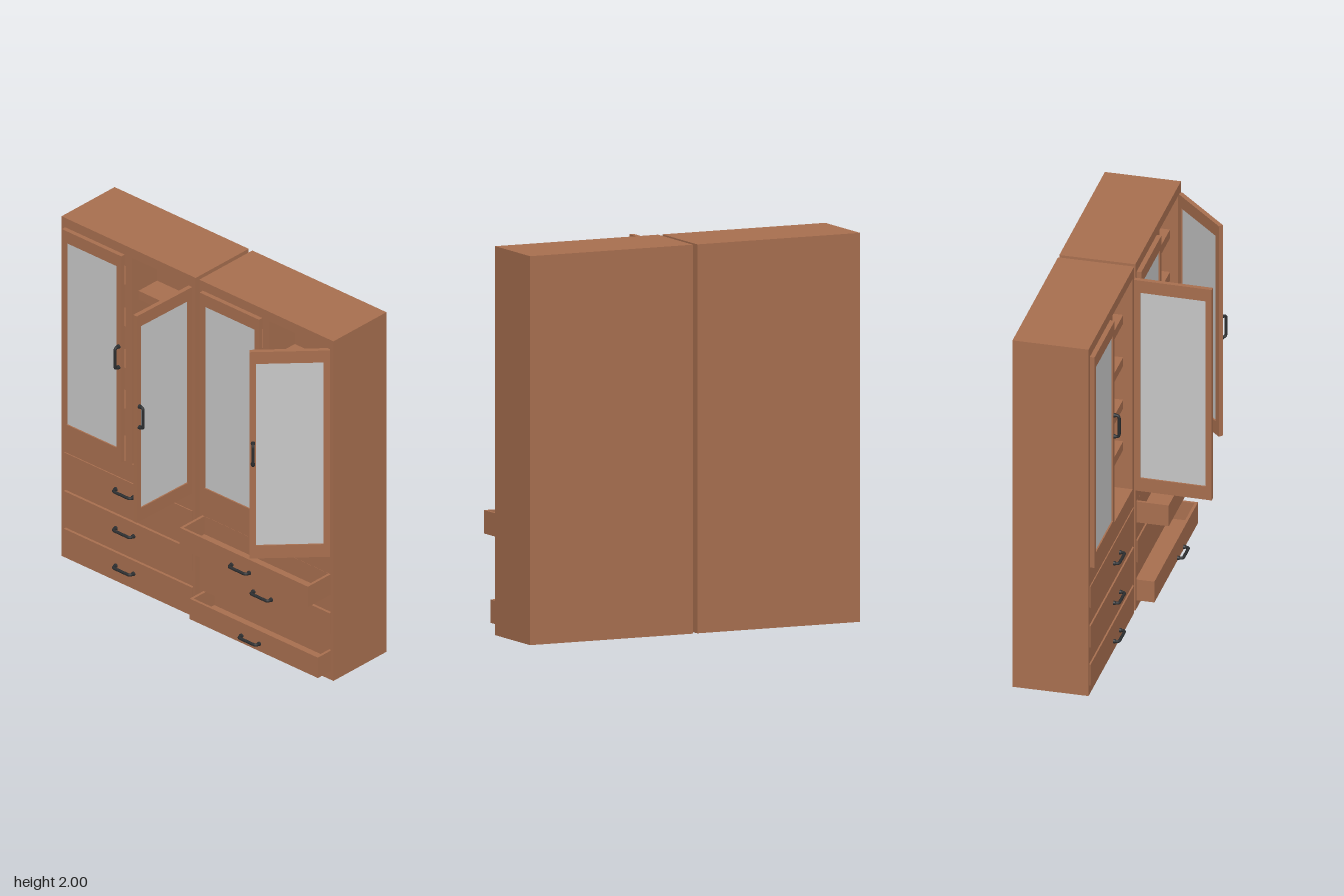
import * as THREE from 'three';

const wood = new THREE.MeshStandardMaterial({ color: 0xa86f4f });
wood.name = 'brown wood';
const glassMat = new THREE.MeshStandardMaterial({ color: 0xc8c8c8 });
glassMat.name = 'grey glass';
const metal = new THREE.MeshStandardMaterial({ color: 0x2c2e30 });
metal.name = 'dark metal';

const BACK = -0.41, FRONT = -0.01, INNER = -0.2; // case depth and back of the compartments
const DOOR = { w: 0.41, y0: 0.73, y1: 1.945, t: 0.025 };
const DRAWERS = [[0.05, 0.17], [0.27, 0.392], [0.5, 0.62]];
const DRAWER_W = 0.885, DRAWER_D = 0.185;

function mesh(name, geometry, material, parent) {
  const m = new THREE.Mesh(geometry, material);
  m.name = name;
  parent.add(m);
  return m;
}

// Box given by its lower and upper limits
function box(name, [x0, x1], [y0, y1], [z0, z1], material, parent) {
  const m = mesh(name, new THREE.BoxGeometry(x1 - x0, y1 - y0, z1 - z0), material, parent);
  m.position.set((x0 + x1) / 2, (y0 + y1) / 2, (z0 + z1) / 2);
  return m;
}

function rect(path, x0, x1, y0, y1) {
  path.moveTo(x0, y0);
  path.lineTo(x1, y0);
  path.lineTo(x1, y1);
  path.lineTo(x0, y1);
  path.closePath();
  return path;
}

// Flat panel with rectangular openings, from z = 0 to z = depth
function panel(outline, holes, depth) {
  const shape = rect(new THREE.Shape(), ...outline);
  for (const h of holes) shape.holes.push(rect(new THREE.Path(), ...h));
  return new THREE.ExtrudeGeometry(shape, { depth, bevelEnabled: false });
}

// Bow handle lying along x, standing out towards +z
function createHandle(name) {
  const g = new THREE.Group();
  g.name = name;
  const a = 0.061, d = 0.028, r = 0.016;
  const v = (x, z) => new THREE.Vector3(x, 0, z);
  const path = new THREE.CurvePath();
  path.add(new THREE.LineCurve3(v(-a, 0), v(-a, d - r)));
  path.add(new THREE.QuadraticBezierCurve3(v(-a, d - r), v(-a, d), v(-a + r, d)));
  path.add(new THREE.LineCurve3(v(-a + r, d), v(a - r, d)));
  path.add(new THREE.QuadraticBezierCurve3(v(a - r, d), v(a, d), v(a, d - r)));
  path.add(new THREE.LineCurve3(v(a, d - r), v(a, 0)));
  mesh('handleBow', new THREE.TubeGeometry(path, 40, 0.008, 10), metal, g);
  for (const s of [-1, 1]) {
    const foot = mesh('handleFoot', new THREE.CylinderGeometry(0.0105, 0.0115, 0.01, 14), metal, g);
    foot.rotation.x = Math.PI / 2;
    foot.position.set(s * a, 0, 0.005);
  }
  return g;
}

// Glazed door; side = 1 is hinged at +x, -1 at -x. The origin is the outer hinge corner.
function createDoor(name, side, angle) {
  const g = new THREE.Group();
  g.name = name;
  const x0 = side > 0 ? -DOOR.w : 0, x1 = x0 + DOOR.w;
  const g0 = x0 + 0.032, g1 = x1 - 0.032, gy0 = 0.805, gy1 = 1.875;
  const frame = mesh('doorFrame',
    panel([x0, x1, DOOR.y0, DOOR.y1], [[g0, g1, gy0, gy1]], DOOR.t), wood, g);
  frame.position.z = -DOOR.t;
  box('glassPane', [g0, g1], [gy0, gy1], [-0.016, -0.008], glassMat, g);
  const handle = createHandle('doorHandle');
  handle.rotation.z = Math.PI / 2;
  handle.position.set(-side * (DOOR.w - 0.0175), 1.348, 0);
  g.add(handle);
  g.rotation.y = side * THREE.MathUtils.degToRad(angle);
  return g;
}

// Open-topped drawer whose front face is at z = 0
function createDrawer(y0, y1) {
  const g = new THREE.Group();
  g.name = 'drawer';
  const h = DRAWER_W / 2, t = 0.015;
  box('drawerBottom', [-h, h], [y0, y0 + t], [-DRAWER_D, 0], wood, g);
  for (const z of [-DRAWER_D, -t]) {
    box(z === -t ? 'drawerFront' : 'drawerBack', [-h, h], [y0 + t, y1], [z, z + t], wood, g);
  }
  for (const x of [-h, h - t]) {
    box('drawerSide', [x, x + t], [y0 + t, y1], [-DRAWER_D + t, -t], wood, g);
  }
  const handle = createHandle('drawerHandle');
  handle.position.set(0, (y0 + y1) / 2 + 0.003, 0.023);
  g.add(handle);
  return g;
}

// One cabinet: drawer positions from bottom to top, and the angle of the open door
function createCabinet(name, drawerFronts, doorAngle) {
  const g = new THREE.Group();
  g.name = name;
  const w = 0.4625, h = DRAWER_W / 2 + 0.001;
  const left = [-0.4325, -0.0225, DOOR.y0, DOOR.y1];
  const right = [0.0225, 0.4325, DOOR.y0, DOOR.y1];
  const slots = DRAWERS.map(([y0, y1], i) => [-h, h, y0 - 0.001, y1 + (i < 2 ? 0.008 : 0.001)]);

  // Carcass: solid rear with an open front
  box('caseBack', [-w, w], [0, 2], [BACK, INNER], wood, g);
  const front = mesh('caseFront', panel([-w, w, 0, 2], [left, right, ...slots], FRONT - INNER), wood, g);
  front.position.z = INNER;

  // Shelves in both compartments
  for (const [x0, x1] of [left, right]) {
    for (const y of [0.95, 1.19, 1.435, 1.68]) {
      box('shelf', [x0, x1], [y, y + 0.05], [INNER, -0.06], wood, g);
    }
  }

  const closed = createDoor('closedDoor', -1, 0);
  closed.position.set(-0.4375, 0, 0.015);
  const open = createDoor('openDoor', 1, doorAngle);
  open.position.set(0.448, 0, 0);
  g.add(closed, open);

  DRAWERS.forEach(([y0, y1], i) => {
    const drawer = createDrawer(y0, y1);
    drawer.position.z = drawerFronts[i];
    g.add(drawer);
  });
  return g;
}

export function createModel() {
  const model = new THREE.Group();
  model.name = 'doubleWardrobe';
  const a = createCabinet('rightCabinet', [-0.005, -0.005, -0.005], 89);
  a.position.x = -0.4775;
  const b = createCabinet('leftCabinet', [0.085, -0.005, 0.16], 45);
  b.position.x = 0.4725;
  model.add(a, b);
  return model;
}
